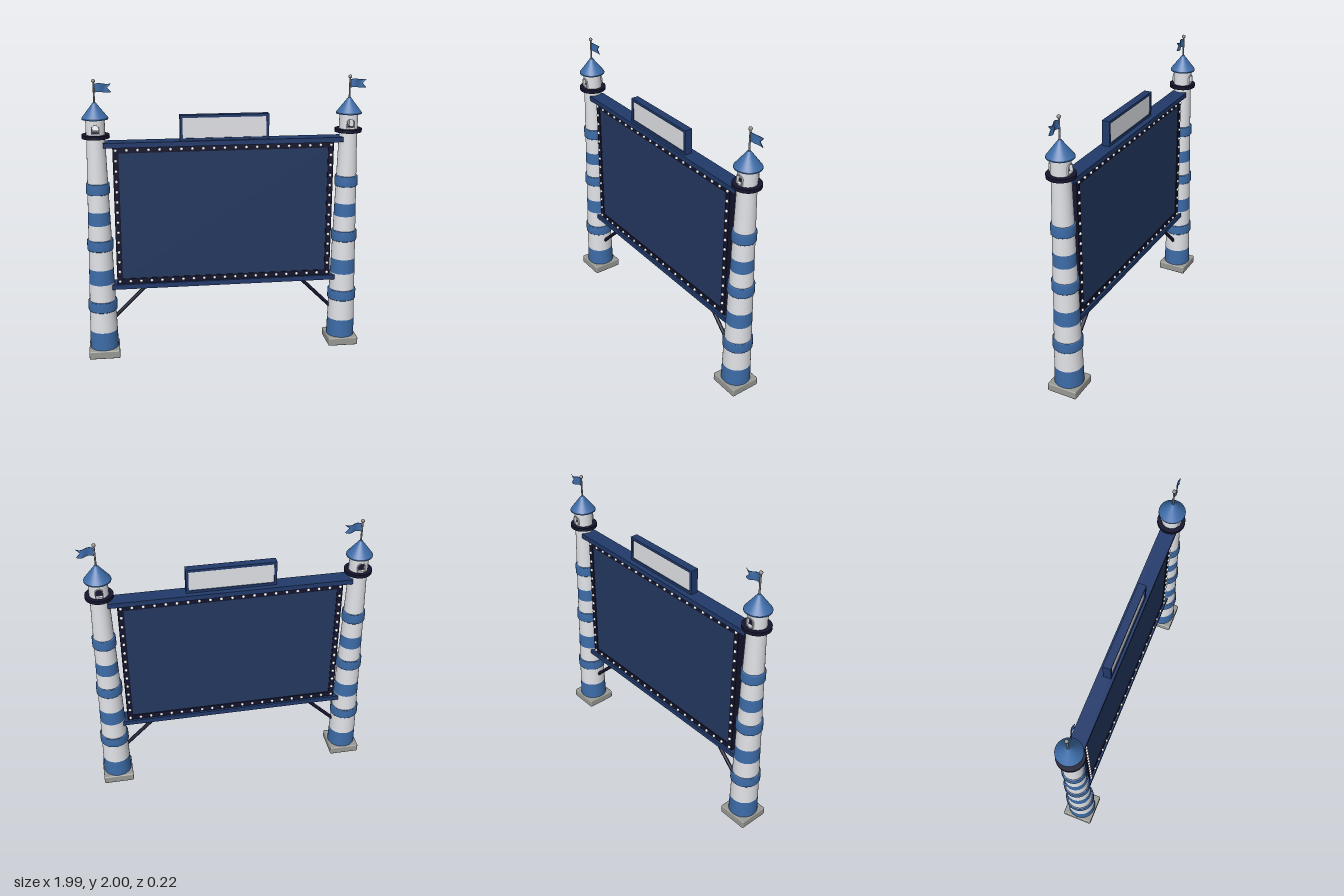
import * as THREE from 'three';
import { RoundedBoxGeometry } from 'three/addons/geometries/RoundedBoxGeometry.js';

const material = (name, color) => {
  const m = new THREE.MeshStandardMaterial({ color });
  m.name = name;
  return m;
};
const blue = material('stripeBlue', 0x3d6ca8);
const beamNavy = material('beamNavy', 0x213a6b);
const screenNavy = material('screenNavy', 0x243860);
const darkNavy = material('darkNavy', 0x14142e);
const white = material('towerWhite', 0xe2e3e8);
white.side = THREE.DoubleSide; // the lantern walls are open
const stone = material('stoneGrey', 0x999995);
const metal = material('poleGrey', 0x8f8b88);
const bulbWhite = material('bulbWhite', 0xf6f6f6);

const CX = -0.0075; // middle of the board

function add(parent, name, geometry, mat, x = 0, y = 0, z = 0) {
  const mesh = new THREE.Mesh(geometry, mat);
  mesh.name = name;
  mesh.position.set(x, y, z);
  parent.add(mesh);
  return mesh;
}

// Rectangular border of the given size, centred, with an open middle
function borderGeometry(w, h, rim, depth) {
  const rect = (Path, a, b) => new Path().moveTo(-a, -b).lineTo(a, -b).lineTo(a, b).lineTo(-a, b).closePath();
  const shape = rect(THREE.Shape, w / 2, h / 2);
  shape.holes.push(rect(THREE.Path, w / 2 - rim, h / 2 - rim));
  return new THREE.ExtrudeGeometry(shape, { depth, bevelEnabled: false }).translate(0, 0, -depth / 2);
}

// Upright arch outline: half width w, from the sill to the spring line and over
function archPath(Path, w, sill, spring) {
  return new Path().moveTo(-w, sill).lineTo(w, sill).lineTo(w, spring)
    .absarc(0, spring, w, 0, Math.PI, false).lineTo(-w, sill);
}

// Round lantern room with an arched opening at front and back
function makeLantern() {
  const lantern = new THREE.Group();
  lantern.name = 'lanternRoom';
  const r = 0.065, w = 0.025, y0 = 1.62, y1 = 1.735, sill = 1.637, spring = 1.672;
  const a = Math.asin(w / r);
  const arc = (lo, hi, start, length, segs) =>
    new THREE.CylinderGeometry(r, r, hi - lo, segs, 1, true, start, length).translate(0, (lo + hi) / 2, 0);
  for (const turn of [0, Math.PI]) {
    const half = new THREE.Group();
    half.name = 'lanternHalf';
    half.rotation.y = turn;
    lantern.add(half);
    add(half, 'lanternWall', arc(y0, y1, a, Math.PI - 2 * a, 20), white);
    add(half, 'windowSill', arc(y0, sill, -a, 2 * a, 8), white);
    // Lower edge of the lintel follows the arch
    const lintel = arc(spring, y1, -a, 2 * a, 16);
    const p = lintel.attributes.position;
    for (let i = 0; i < p.count; i++) {
      if (p.getY(i) < spring + 0.001) {
        p.setY(i, spring + Math.sqrt(Math.max(0, w * w - p.getX(i) ** 2)));
      }
    }
    add(half, 'windowLintel', lintel, white);
    const frame = archPath(THREE.Shape, 0.028, 1.632, spring);
    frame.holes.push(archPath(THREE.Path, 0.022, 1.638, spring));
    add(half, 'windowFrame',
      new THREE.ExtrudeGeometry(frame, { depth: 0.022, bevelEnabled: false, curveSegments: 12 }), white, 0, 0, 0.047);
  }
  return lantern;
}

// Waving flag with a notched end, starting at x = 0
function flagGeometry() {
  const len = 0.113, h = 0.058;
  const g = new THREE.BoxGeometry(len, h, 0.004, 12, 2, 1).translate(len / 2, 0, 0);
  const p = g.attributes.position;
  for (let i = 0; i < p.count; i++) {
    const x = p.getX(i), y = p.getY(i), t = x / len;
    p.setX(i, x * (1 - 0.24 * (1 - Math.abs(y) / (h / 2)) * t));
    p.setY(i, y + 0.004 * Math.sin(t * Math.PI * 2));
    p.setZ(i, p.getZ(i) + 0.008 * Math.sin(t * Math.PI * 2));
  }
  g.computeVertexNormals();
  return g;
}

function makeTower(name, x) {
  const tower = new THREE.Group();
  tower.name = name;
  tower.position.x = x;
  add(tower, 'footing', new RoundedBoxGeometry(0.22, 0.062, 0.22, 3, 0.01), stone, 0, 0.031, 0);

  // Tapered shaft in stripes
  const radius = y => 0.102 - (y - 0.06) * 0.0253;
  const edges = [0.06, 0.195, 0.555, 0.665, 0.99, 1.085, 1.605];
  for (let i = 0; i < edges.length - 1; i++) {
    const lo = edges[i], hi = edges[i + 1];
    add(tower, i % 2 ? 'whiteStripe' : 'blueStripe',
      new THREE.CylinderGeometry(radius(hi), radius(lo), hi - lo, 40, 1, true), i % 2 ? white : blue, 0, (lo + hi) / 2, 0);
  }
  // Raised collars with softened edges
  for (const y of [0.388, 0.842, 1.248]) {
    const R = radius(y), h = 0.038;
    const pts = [[R - 0.004, -h], [R + 0.006, -h], [R + 0.01, -h + 0.005], [R + 0.009, h - 0.005], [R + 0.005, h], [R - 0.004, h]];
    add(tower, 'collar', new THREE.LatheGeometry(pts.map(q => new THREE.Vector2(...q)), 40), blue, 0, y, 0);
  }

  add(tower, 'gallery', new THREE.CylinderGeometry(0.095, 0.095, 0.024, 40), darkNavy, 0, 1.612, 0);
  tower.add(makeLantern());
  add(tower, 'roofEave', new THREE.CylinderGeometry(0.09, 0.09, 0.008, 40), blue, 0, 1.733, 0);
  add(tower, 'roof', new THREE.CylinderGeometry(0.01, 0.09, 0.103, 40), blue, 0, 1.7885, 0);
  add(tower, 'flagPole', new THREE.CylinderGeometry(0.006, 0.006, 0.16, 12), metal, 0, 1.905, 0);
  add(tower, 'poleBall', new THREE.SphereGeometry(0.013, 16, 12), metal, 0, 1.985, 0);
  add(tower, 'flag', flagGeometry(), blue, 0.004, 1.937, 0);
  return tower;
}

function makeBoard() {
  const board = new THREE.Group();
  board.name = 'board';
  const W = 1.543, H = 0.99, midY = 1.04;
  add(board, 'bulbBorder', borderGeometry(W, H, 0.04, 0.08), darkNavy, CX, midY, 0);
  add(board, 'screen', new THREE.BoxGeometry(W - 0.078, H - 0.078, 0.07), screenNavy, CX, midY, 0);
  add(board, 'topBeam', new THREE.BoxGeometry(1.667, 0.035, 0.11), beamNavy, CX, 1.552, 0);
  add(board, 'bottomBeam', new THREE.BoxGeometry(1.616, 0.035, 0.11), beamNavy, CX, 0.528, 0);

  // Bulbs around the border on both faces
  const w = W - 0.04, h = H - 0.04, nx = 20, ny = 13;
  const spots = [];
  for (let i = 0; i <= nx; i++) for (const s of [-1, 1]) spots.push([w * (i / nx - 0.5), s * h / 2]);
  for (let j = 1; j < ny; j++) for (const s of [-1, 1]) spots.push([s * w / 2, h * (j / ny - 0.5)]);
  const bulb = new THREE.SphereGeometry(0.011, 12, 8);
  for (const [x, y] of spots) {
    for (const z of [-0.043, 0.043]) add(board, 'bulb', bulb, bulbWhite, CX + x, midY + y, z);
  }

  // Small sign on the top beam
  add(board, 'signFrame', borderGeometry(0.617, 0.177, 0.018, 0.055), beamNavy, CX, 1.657, 0.01);
  add(board, 'signFace', new THREE.BoxGeometry(0.585, 0.145, 0.041), white, CX, 1.657, 0.01);

  // Diagonal braces from the towers up to the bottom beam
  for (const s of [-1, 1]) {
    const path = new THREE.LineCurve3(
      new THREE.Vector3(CX + s * 0.81, 0.268, 0), new THREE.Vector3(CX + s * 0.55, 0.525, 0));
    add(board, 'brace', new THREE.TubeGeometry(path, 1, 0.013, 12), darkNavy);
  }
  return board;
}

export function createModel() {
  const model = new THREE.Group();
  model.name = 'lighthouseBillboard';
  model.add(makeTower('leftTower', CX + 0.88), makeTower('rightTower', CX - 0.88), makeBoard());
  return model;
}
